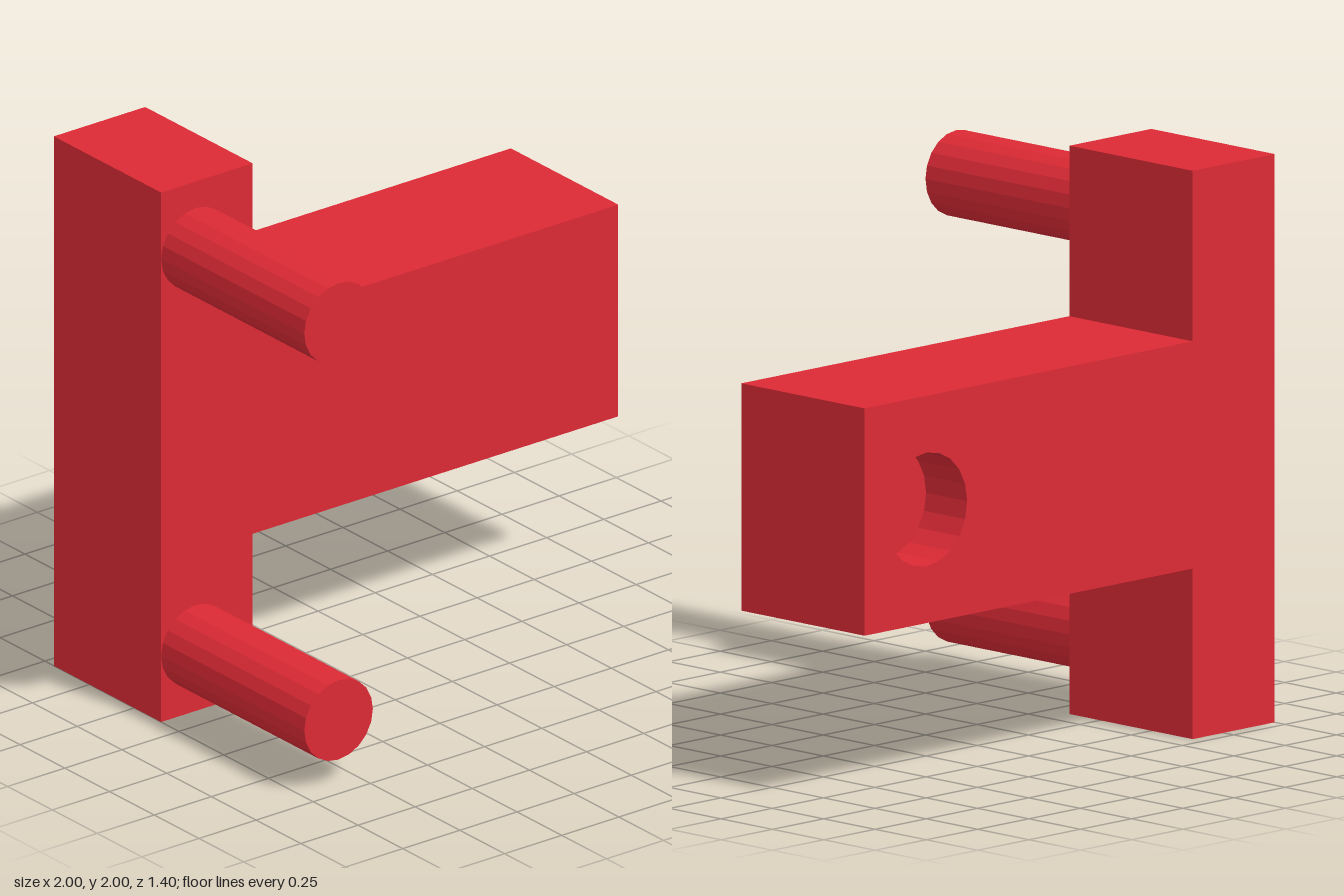
import * as THREE from 'three';
import { mergeGeometries } from 'three/addons/utils/BufferGeometryUtils.js';

const FRONT = -0.1, BACK = -0.7, DEPTH = FRONT - BACK;
const SEGMENTS = 20;
const hole = { x: 0.7, y: 1, r: 0.2, depth: 0.2 };

// T-shaped outline, counter-clockwise seen from the front
const outline = [
  [-1, 0], [-0.6, 0], [-0.6, 0.6], [1, 0.6], [1, 1.4], [-0.6, 1.4], [-0.6, 2], [-1, 2],
];

const face = (sign) => new THREE.Shape(outline.map(([x, y]) => new THREE.Vector2(sign * x, y)));

function bodyGeometry() {
  // Front face
  const front = new THREE.ShapeGeometry(face(1)).translate(0, 0, FRONT);

  // Back face with the round opening, turned to face backwards
  const backShape = face(-1);
  const ring = [];
  for (let i = 0; i < SEGMENTS; i++) {
    const a = (-i / SEGMENTS) * Math.PI * 2;
    ring.push(new THREE.Vector2(-hole.x + hole.r * Math.cos(a), hole.y + hole.r * Math.sin(a)));
  }
  backShape.holes.push(new THREE.Path(ring));
  const back = new THREE.ShapeGeometry(backShape).rotateY(Math.PI).translate(0, 0, BACK);

  // One outer wall per outline edge
  const walls = outline.map(([ax, ay], i) => {
    const [bx, by] = outline[(i + 1) % outline.length];
    return new THREE.PlaneGeometry(Math.hypot(bx - ax, by - ay), DEPTH)
      .rotateX(-Math.PI / 2)
      .rotateZ(Math.atan2(ay - by, ax - bx))
      .translate((ax + bx) / 2, (ay + by) / 2, (FRONT + BACK) / 2);
  });
  return mergeGeometries([front, back, ...walls]);
}

// Blind socket: inward-facing wall and a floor
function socketGeometry() {
  const wall = new THREE.CylinderGeometry(hole.r, hole.r, hole.depth, SEGMENTS, 1, true)
    .rotateX(Math.PI / 2)
    .scale(-1, 1, 1)
    .translate(hole.x, hole.y, BACK + hole.depth / 2);
  wall.computeVertexNormals();
  const floor = new THREE.CircleGeometry(hole.r, SEGMENTS)
    .rotateY(Math.PI)
    .translate(hole.x, hole.y, BACK + hole.depth);
  return mergeGeometries([wall, floor]);
}

export function createModel() {
  const model = new THREE.Group();
  model.name = 'pinnedBracket';
  const material = new THREE.MeshStandardMaterial({ color: 0xdc2a35, flatShading: true });

  const add = (name, geometry) => {
    const mesh = new THREE.Mesh(geometry, material);
    mesh.name = name;
    model.add(mesh);
    return mesh;
  };

  add('body', bodyGeometry());
  add('socket', socketGeometry());

  // Two pins standing out of the front of the upright
  for (const [name, y] of [['lowerPin', 0.25], ['upperPin', 1.75]]) {
    const pin = add(name, new THREE.CylinderGeometry(0.15, 0.15, 0.8, SEGMENTS).rotateX(Math.PI / 2));
    pin.position.set(-0.85, y, 0.3);
  }
  return model;
}
